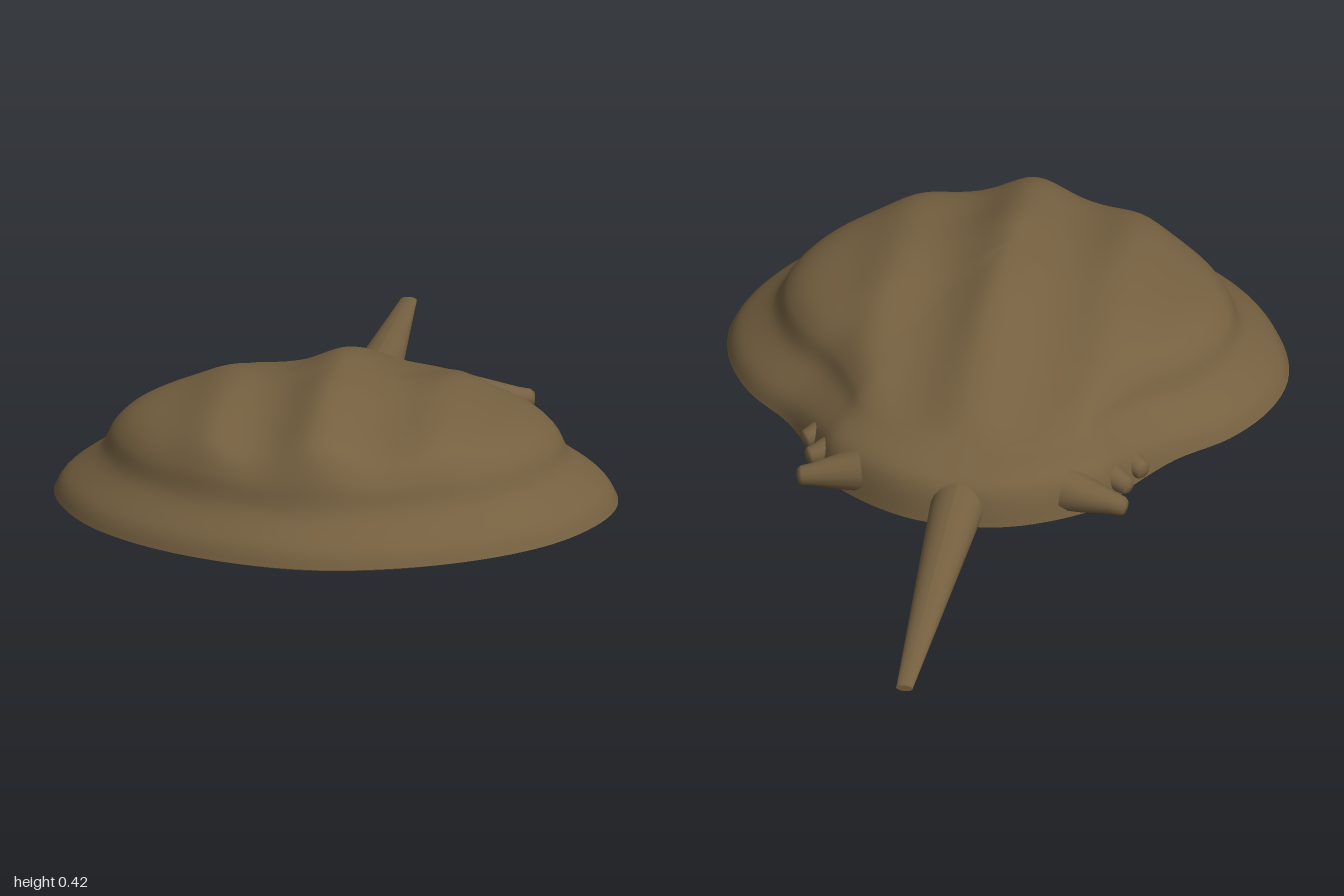
import * as THREE from 'three';

const material = (name, color) => Object.assign(new THREE.MeshStandardMaterial({ color }), { name });
const shellBrown = material('shellBrown', 0x756040);
const bellyTan = material('bellyTan', 0xa4875c);

const CENTRE_Z = 0.45, AROUND = 128, RIM_Y = 0.105;
const { lerp, smoothstep } = THREE.MathUtils;
const bump = (x, at, width) => Math.exp(-(((x - at) / width) ** 2));

// Right half of the rim seen from above (x, z), mirrored to a closed curve
const half = [[0.2, 0.967], [0.4, 0.875], [0.555, 0.74], [0.645, 0.58], [0.672, 0.45], [0.65, 0.32],
  [0.58, 0.19], [0.47, 0.08], [0.415, 0.0], [0.375, -0.07], [0.34, -0.14], [0.25, -0.215], [0.12, -0.276]];
const rimPoints = [[0, 1], ...half, [0, -0.29], ...half.map(([x, z]) => [-x, z]).reverse()];
const rim = new THREE.CatmullRomCurve3(rimPoints.map(([x, z]) => new THREE.Vector3(x, 0, z)), true)
  .getSpacedPoints(AROUND).slice(0, AROUND);

// Height from the middle outwards: brimmed at the front and sides, plain at the tail
const reach = [0, 0.2, 0.4, 0.6, 0.72, 0.79, 0.84, 0.96, 1];
const profile = (heights) => new THREE.SplineCurve(heights.map((h, i) => new THREE.Vector2(reach[i], h)));
const brimmed = profile([0.38, 0.38, 0.362, 0.337, 0.308, 0.268, 0.208, 0.147, RIM_Y]);
const plain = profile([0.38, 0.375, 0.345, 0.3, 0.27, 0.253, 0.24, 0.198, RIM_Y]);

function named(object, name) {
  object.name = name;
  return object;
}

// Rings scaled from the middle out to the rim
function rings(name, count, sample, up, mat) {
  const pos = [0, sample(0, rim[0]).y, CENTRE_Z], index = [];
  const id = (i, j) => (i === 0 ? 0 : 1 + (i - 1) * AROUND + (j % AROUND));
  for (let i = 1; i <= count; i++) {
    for (const p of rim) {
      const { s, y } = sample(i / count, p);
      pos.push(p.x * s, y, CENTRE_Z + (p.z - CENTRE_Z) * s);
    }
  }
  const tri = (a, b, c) => (up ? index.push(a, b, c) : index.push(a, c, b));
  for (let i = 0; i < count; i++) {
    for (let j = 0; j < AROUND; j++) {
      tri(id(i, j), id(i + 1, j), id(i + 1, j + 1));
      if (i > 0) tri(id(i, j), id(i + 1, j + 1), id(i, j + 1));
    }
  }
  const g = new THREE.BufferGeometry();
  g.setAttribute('position', new THREE.Float32BufferAttribute(pos, 3));
  g.setIndex(index);
  g.computeVertexNormals();
  return named(new THREE.Mesh(g, mat), name);
}

// Domed top with a middle ridge and a lower ridge on each side
function shellPoint(t, p) {
  const a = brimmed.getPoint(t), b = plain.getPoint(t);
  const back = 1 - smoothstep(p.z, -0.25, 0.2);
  const s = a.x, x = Math.abs(p.x * s);
  const fade = (1 - smoothstep(s, 0.7, 0.87)) * (1 - 0.6 * back * s);
  const ridges = 0.045 * bump(x, 0, 0.085) + 0.02 * bump(x, 0.27, 0.075);
  return { s, y: lerp(a.y, b.y, back) + ridges * fade };
}

// Shallow bowl below, flatter towards the tail
function bellyPoint(t, p) {
  const back = 1 - smoothstep(p.z, -0.25, 0.2);
  const bowl = t ** 2.1, flat = 0.6 * t ** 1.6 + 0.4 * t ** 12;
  return { s: t, y: 0.002 + (RIM_Y - 0.002) * lerp(bowl, flat, back) };
}

// Tapered, flattened tail
function tail() {
  const g = new THREE.CylinderGeometry(1, 1, 1, 24, 8);
  const p = g.attributes.position;
  for (let i = 0; i < p.count; i++) {
    const t = p.getY(i) + 0.5;
    p.setXYZ(i, p.getX(i) * lerp(0.066, 0.02, t),
      lerp(0.144, 0.108, t) + p.getZ(i) * lerp(0.06, 0.008, t), lerp(-0.24, -1, t));
  }
  g.computeVertexNormals();
  return named(new THREE.Mesh(g, shellBrown), 'tail');
}

// Tapered spine with a rounded tip between two points
function spine(from, to, r0, r1, name) {
  const a = new THREE.Vector3(...from), dir = new THREE.Vector3(...to).sub(a), l = dir.length();
  const outline = [[r0, 0], [r1 * 1.15, 0.75 * l], [r1, 0.92 * l], [r1 * 0.7, 0.98 * l], [0, l]];
  const g = new THREE.LatheGeometry(outline.map(([r, y]) => new THREE.Vector2(r, y)), 14);
  const m = new THREE.Mesh(g, shellBrown);
  m.position.copy(a);
  m.quaternion.setFromUnitVectors(new THREE.Vector3(0, 1, 0), dir.normalize());
  return named(m, name);
}

export function createModel() {
  const model = named(new THREE.Group(), 'horseshoeCrab');
  model.add(
    rings('shell', 48, shellPoint, true, shellBrown),
    rings('belly', 20, bellyPoint, false, bellyTan),
    tail(),
  );
  for (const [side, k] of [['left', 1], ['right', -1]]) {
    model.add(
      spine([0.25 * k, 0.155, -0.165], [0.398 * k, 0.145, -0.204], 0.055, 0.024, side + 'RearSpine'),
      spine([0.29 * k, 0.155, -0.05], [0.39 * k, 0.14, -0.113], 0.05, 0.022, side + 'MiddleSpine'),
      spine([0.33 * k, 0.15, 0.03], [0.412 * k, 0.135, -0.035], 0.045, 0.022, side + 'FrontSpine'),
    );
  }
  return model;
}
